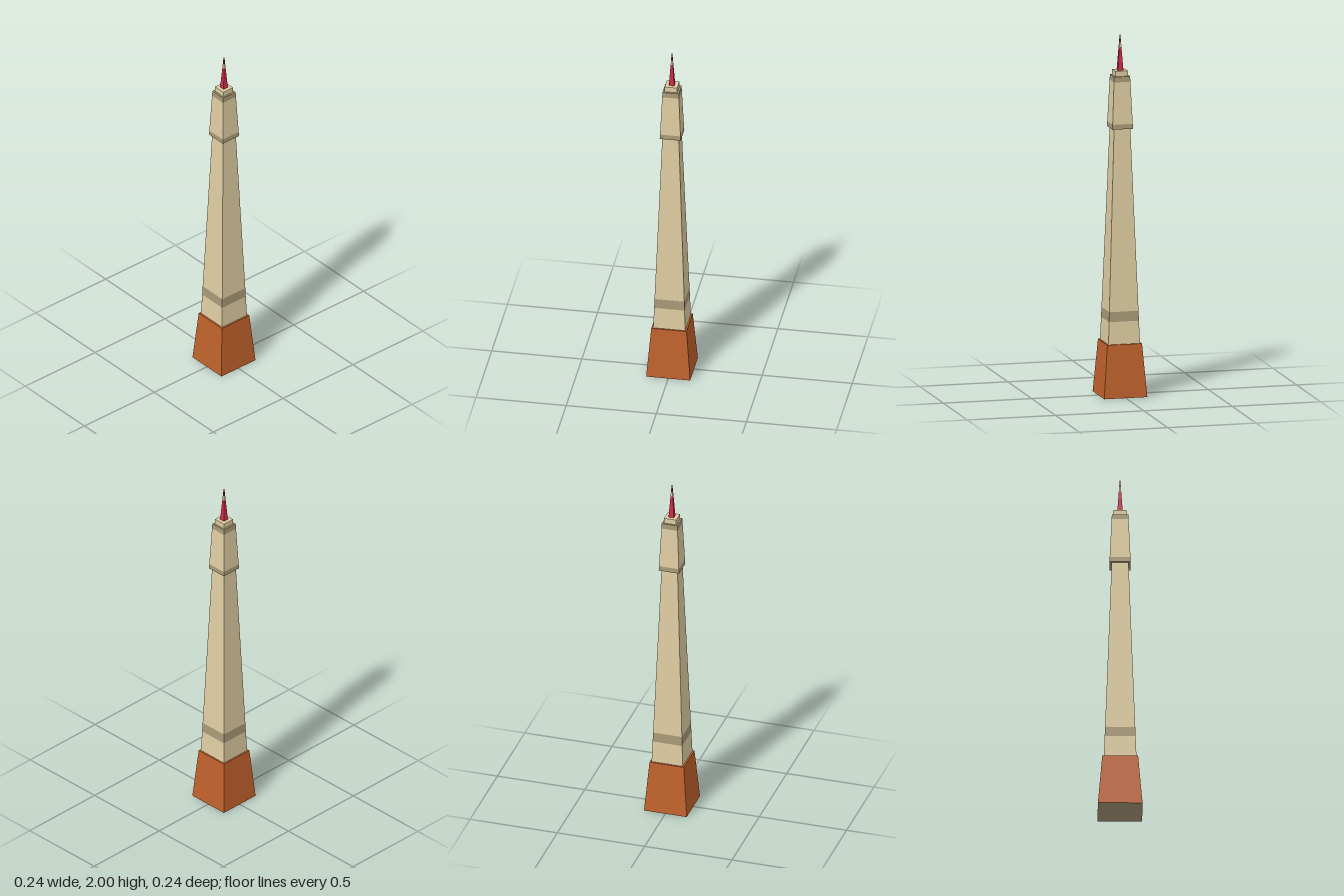
import * as THREE from 'three';

const paint = (color) => new THREE.MeshStandardMaterial({ color, flatShading: true });

// Square tapered block from y0 (half width w0) to y1 (half width w1)
function taper(name, material, y0, w0, y1, w1, open = false) {
  const geo = new THREE.CylinderGeometry(w1 * Math.SQRT2, w0 * Math.SQRT2, y1 - y0, 4, 1, open);
  geo.rotateY(Math.PI / 4);
  geo.translate(0, (y0 + y1) / 2, 0);
  const mesh = new THREE.Mesh(geo, material);
  mesh.name = name;
  return mesh;
}

// One continuous taper cut into coloured courses: [name, material, top height]
function courses(name, y0, w0, y1, w1, list) {
  const group = new THREE.Group();
  group.name = name;
  const width = (y) => w0 + (w1 - w0) * (y - y0) / (y1 - y0);
  let y = y0;
  for (const [part, material, top] of list) {
    group.add(taper(part, material, y, width(y), top, width(top)));
    y = top;
  }
  return group;
}

export function createModel() {
  const brick = paint(0xbf612b);
  const stone = paint(0xe0cda2);
  const band = paint(0xa99977);
  const red = paint(0xcc2c46);
  const darkRed = paint(0x8e2236);

  const model = new THREE.Group();
  model.name = 'tower';

  // Brick plinth, with a stone underside
  const plinth = taper('plinth', brick, 0, 0.122, 0.295, 0.098);
  plinth.material = [brick, brick, band];
  model.add(plinth);

  // Long shaft with a flush band near its foot
  model.add(courses('shaft', 0.295, 0.089, 1.485, 0.046, [
    ['shaftFoot', stone, 0.42],
    ['shaftBand', band, 0.475],
    ['shaftBody', stone, 1.485],
  ]));

  // Wider upper storey, banded at both ends
  model.add(courses('upperStorey', 1.485, 0.058, 1.775, 0.045, [
    ['lowerBand', band, 1.512],
    ['upperBody', stone, 1.745],
    ['upperBand', band, 1.775],
  ]));

  // Cap block
  model.add(taper('cap', stone, 1.775, 0.035, 1.805, 0.035));

  // Spire with a pale ring and dark tip
  model.add(courses('spire', 1.805, 0.015, 2, 0.002, [
    ['spireBase', red, 1.932],
    ['spireRing', stone, 1.96],
    ['spireTip', darkRed, 2],
  ]));

  return model;
}
